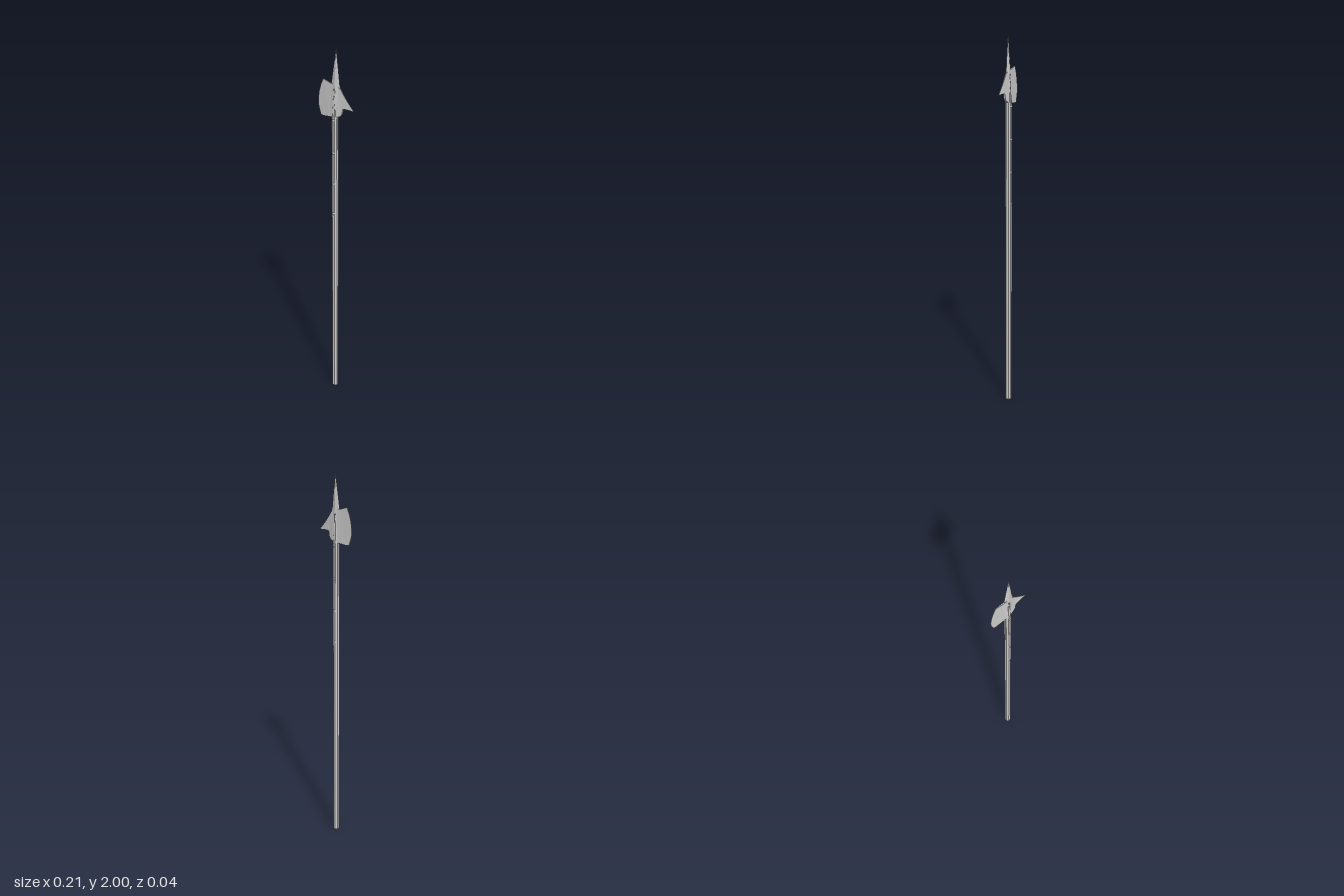
import * as THREE from 'three';

const CX = -0.004; // shaft axis

// Joins rings of equal corner count, ordered anticlockwise seen from the far end.
function loft(rings) {
  const n = rings[0].length;
  const index = [];
  for (let r = 0; r < rings.length - 1; r++) {
    for (let i = 0; i < n; i++) {
      const a = r * n + i, b = r * n + (i + 1) % n;
      index.push(a, b, b + n, a, b + n, a + n);
    }
  }
  const last = (rings.length - 1) * n;
  for (let i = 1; i < n - 1; i++) {
    index.push(0, i + 1, i, last, last + i, last + i + 1);
  }
  const g = new THREE.BufferGeometry();
  g.setAttribute('position', new THREE.Float32BufferAttribute(rings.flat(2), 3));
  g.setIndex(index);
  const flat = g.toNonIndexed();
  flat.computeVertexNormals();
  return flat;
}

export function createModel() {
  const group = new THREE.Group();
  const mat = new THREE.MeshStandardMaterial({ color: 0xcccccc, flatShading: true });
  const add = (name, geometry, x = 0, y = 0, z = 0) => {
    const mesh = new THREE.Mesh(geometry, mat);
    mesh.name = name;
    mesh.position.set(x, y, z);
    group.add(mesh);
    return mesh;
  };

  // Eight-sided pole, slightly slimmer under the straps
  const lower = new THREE.CylinderGeometry(0.0172, 0.0178, 1.1, 8);
  const upper = new THREE.CylinderGeometry(0.0145, 0.0172, 0.59, 8, 1, true);
  add('lowerShaft', lower.rotateY(Math.PI / 8), CX, 0.55);
  add('upperShaft', upper.rotateY(Math.PI / 8), CX, 1.395);

  // Axe blade and rear fluke: x, bottom, top, half thickness
  const sections = [
    [-0.106, 1.71, 1.745, 0.0005],
    [-0.1, 1.69, 1.78, 0.0011],
    [-0.09, 1.66, 1.812, 0.002],
    [-0.075, 1.658, 1.845, 0.0032],
    [-0.026, 1.663, 1.83, 0.0075],
    [CX, 1.67, 1.83, 0.0115],
    [0.012, 1.67, 1.825, 0.0095],
    [0.03, 1.675, 1.81, 0.006],
    [0.041, 1.69, 1.795, 0.0045],
    [0.044, 1.716, 1.79, 0.0042],
    [0.07, 1.717, 1.757, 0.0026],
    [0.106, 1.714, 1.718, 0.0005],
  ];
  add('axeHead', loft(sections.map(([x, b, t, h]) => [
    [x, b, -h], [x, t, -h * 0.45], [x, t, h * 0.45], [x, b, h],
  ])));

  // Top spike with diamond section: y, left, right, half thickness
  const spike = [
    [1.7, -0.022, 0.02, 0.0125],
    [1.81, -0.027, 0.03, 0.0085],
    [1.835, -0.026, 0.023, 0.0075],
    [1.9, -0.016, 0.016, 0.0045],
    [2.0, 0.001, 0.003, 0.0004],
  ];
  add('topSpike', loft(spike.map(([y, l, r, h]) => {
    const m = (l + r) / 2;
    return [[r, y, 0], [m, y, -h], [l, y, 0], [m, y, h]];
  })));

  // Socket closing over the top of the pole
  const socket = new THREE.CylinderGeometry(0.006, 0.0165, 0.16, 8).rotateY(Math.PI / 8);
  add('socket', socket, CX, 1.74);

  // Straps running down all four sides of the pole
  for (const s of [1, -1]) {
    const strap = new THREE.BoxGeometry(0.012, 0.56, 0.003);
    add('riveted strap', strap, CX, 1.4, s * 0.0155).rotation.x = -s * 0.0035;
    const [end, name] = s > 0 ? [1.18, 'leftSideStrap'] : [1.26, 'rightSideStrap'];
    const side = new THREE.BoxGeometry(0.003, 1.72 - end, 0.01);
    add(name, side, CX + s * 0.0155, (1.72 + end) / 2, 0);

    // Domed rivets on the front and back
    for (const y of [1.14, 1.31, 1.48, 1.65]) {
      const rivet = new THREE.SphereGeometry(0.0075, 8, 4, 0, Math.PI * 2, 0, Math.PI / 2);
      rivet.scale(1, 0.6, 1).rotateX(s * Math.PI / 2);
      add('rivet', rivet, CX, y, s * 0.0158);
    }
    for (const y of [1.77, 1.805]) {
      const rivet = new THREE.SphereGeometry(0.004, 6, 4);
      add('headRivet', rivet, CX, y, s * 0.0095);
    }
  }
  return group;
}
